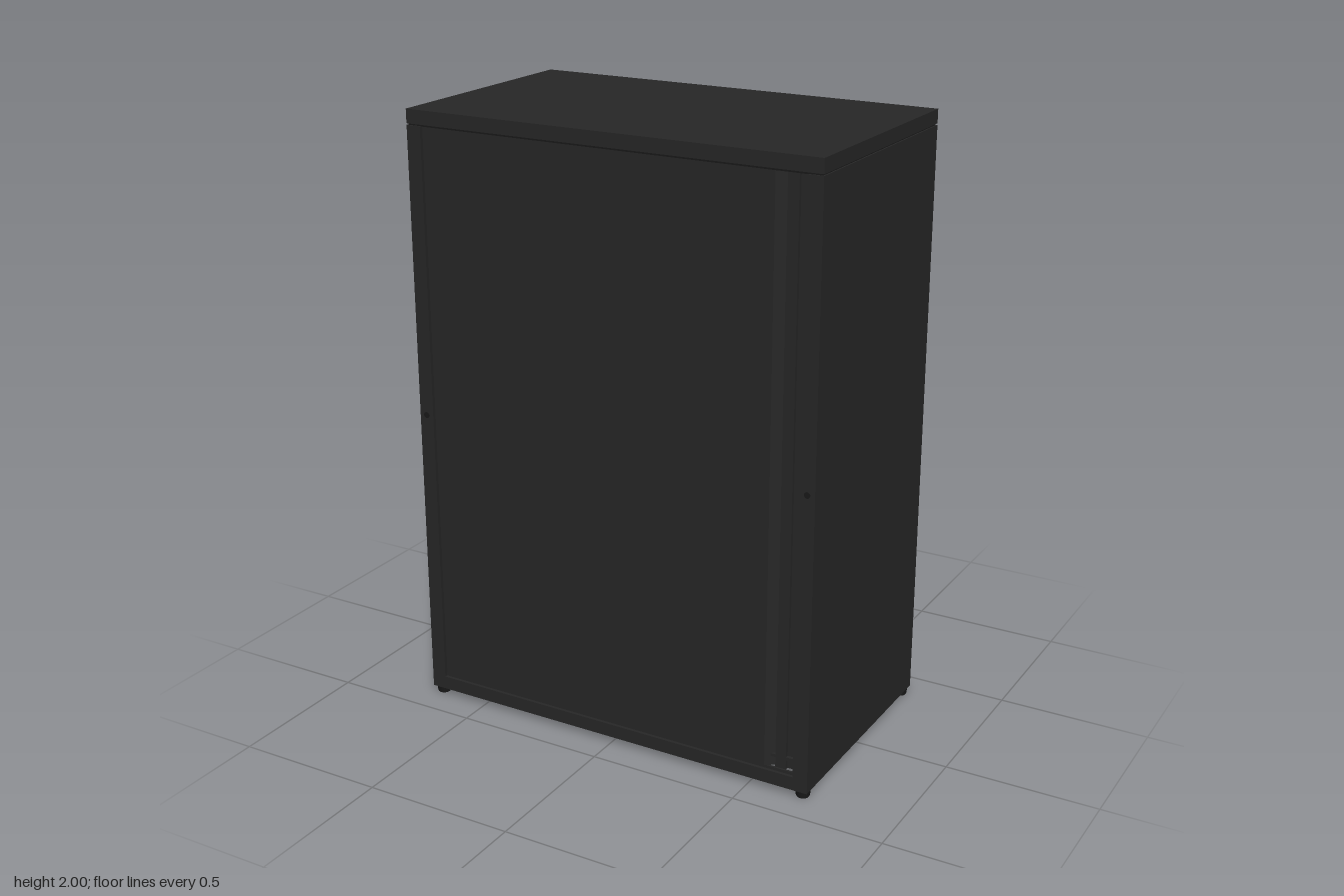
import * as THREE from 'three';

export function createModel() {
  const model = new THREE.Group();
  model.name = 'cabinet';
  const mat = (name, color) => {
    const m = new THREE.MeshStandardMaterial({ color });
    m.name = name;
    return m;
  };
  const charcoal = mat('charcoal', 0x272727);
  const black = mat('black', 0x191919);

  const add = (name, geo, material, x = 0, y = 0, z = 0) => {
    const mesh = new THREE.Mesh(geo, material);
    mesh.name = name;
    mesh.position.set(x, y, z);
    model.add(mesh);
    return mesh;
  };
  // Box given by its limits on each axis
  const box = (name, x0, x1, y0, y1, z0, z1, material = charcoal) =>
    add(name, new THREE.BoxGeometry(x1 - x0, y1 - y0, z1 - z0), material,
      (x0 + x1) / 2, (y0 + y1) / 2, (z0 + z1) / 2);
  // Small round fitting facing along z
  const disc = (name, r, x, y, z) => {
    const geo = new THREE.CylinderGeometry(r, r, 0.004, 16);
    geo.rotateX(Math.PI / 2);
    add(name, geo, black, x, y, z);
  };

  // Top slab above a thin shadow gap
  box('top', -0.705, 0.705, 1.955, 2, -0.402, 0.402);
  box('topGap', -0.7, 0.7, 1.949, 1.956, -0.398, 0.398, black);

  for (const s of [-1, 1]) {
    const span = (name, a, b, y0, y1, z0, z1, m) =>
      box(name, Math.min(s * a, s * b), Math.max(s * a, s * b), y0, y1, z0, z1, m);
    // Side wall, folded into narrow posts at front and back
    span('sideWall', 0.69, 0.705, 0.025, 1.95, -0.402, 0.402);
    span('frontPost', 0.655, 0.691, 0.025, 1.95, 0.365, 0.402);
    span('backPost', 0.655, 0.691, 0.025, 1.95, -0.402, -0.365);
    // Shadow gap beside the door
    span('doorGap', 0.645, 0.656, 0.08, 1.95, 0.365, 0.37, black);

    for (const f of [-1, 1]) {
      // Corner foot with a wider pad
      add('foot', new THREE.CylinderGeometry(0.02, 0.02, 0.026, 20), black, s * 0.68, 0.014, f * 0.376);
      add('footPad', new THREE.CylinderGeometry(0.024, 0.022, 0.018, 20), black, s * 0.68, 0.014, f * 0.376);
    }
    // Front post plug, back panel screw
    disc('postPlug', 0.01, s * 0.68, 1.01, 0.402);
    disc('backScrew', 0.008, s * 0.575, 1.84, -0.393);
    // Latch catches on the inner edge of the front post
    for (const y of [0.28, 0.9, 1.48, 1.87])
      span('catch', 0.648, 0.656, y - 0.015, y + 0.015, 0.372, 0.385, black);
  }
  disc('postPlug', 0.01, 0.68, 1.01, -0.402);

  // Thin bottom rails around a deeply recessed floor
  box('frontRail', -0.656, 0.656, 0.025, 0.07, 0.385, 0.402);
  box('frontRailLedge', -0.656, 0.656, 0.07, 0.08, 0.385, 0.392);
  box('backRail', -0.656, 0.656, 0.025, 0.07, -0.402, -0.385);
  box('bottomPanel', -0.691, 0.691, 0.112, 0.122, -0.385, 0.385);

  // Back panel, slightly recessed in its frame
  box('backRailTop', -0.656, 0.656, 1.935, 1.95, -0.402, -0.385);
  box('backPanel', -0.656, 0.656, 0.069, 1.936, -0.393, -0.383);

  // Sliding door with a sloping grip channel near its right edge
  const profile = new THREE.Shape([
    [-0.65, 0.396], [0.555, 0.396], [0.585, 0.374], [0.588, 0.386], [0.624, 0.386],
    [0.624, 0.374], [0.646, 0.374], [0.646, 0.368], [-0.65, 0.368],
  ].map(([x, z]) => new THREE.Vector2(x, -z)));
  const door = new THREE.ExtrudeGeometry(profile, { depth: 1.87, bevelEnabled: false });
  door.rotateX(-Math.PI / 2);
  add('door', door, charcoal, 0, 0.08, 0);

  return model;
}
